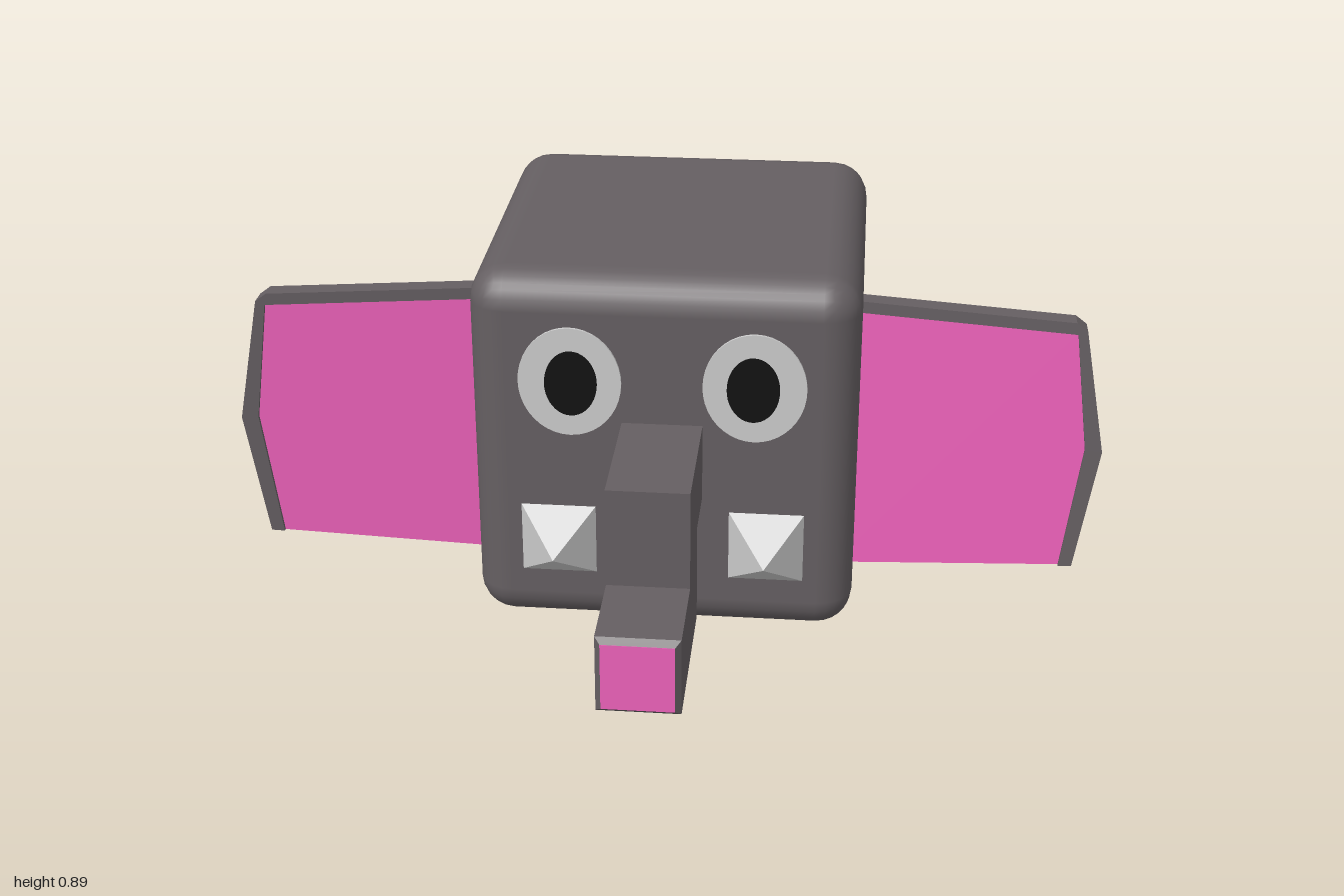
import * as THREE from 'three';
import { RoundedBoxGeometry } from 'three/addons/geometries/RoundedBoxGeometry.js';

const mat = (color, flatShading = true) =>
  new THREE.MeshStandardMaterial({ color, flatShading, side: THREE.DoubleSide });
const hide = mat(0x655f62);
const hideSmooth = mat(0x655f62, false);
const pink = mat(0xee62bb);
const white = mat(0xcccccc);
const black = mat(0x111111);

function add(parent, name, geometry, material, x = 0, y = 0, z = 0) {
  const mesh = new THREE.Mesh(geometry, material);
  mesh.name = name;
  mesh.position.set(x, y, z);
  parent.add(mesh);
  return mesh;
}

function slab(points, z0, z1, hole) {
  const toShape = (p) => new THREE.Shape(p.map(([x, y]) => new THREE.Vector2(x, y)));
  const shape = toShape(points);
  if (hole) shape.holes.push(toShape(hole));
  return new THREE.ExtrudeGeometry(shape, { depth: z1 - z0, bevelEnabled: false }).translate(0, 0, z0);
}

// Sweeps an ear layer forward as it runs away from the head
function sweep(geometry) {
  const p = geometry.attributes.position;
  for (let i = 0; i < p.count; i++) p.setZ(i, p.getZ(i) + 0.165 * (p.getX(i) - 0.44));
  geometry.computeVertexNormals();
  return geometry;
}

function makeEar() {
  const ear = new THREE.Group();
  const outer = [[0.4, 0.1], [0.955, 0.175], [1, 0.48], [0.945, 0.775], [0.92, 0.793], [0.4, 0.793]];
  const inner = [[0.4, 0.1], [0.925, 0.171], [0.962, 0.48], [0.925, 0.765], [0.4, 0.765]];
  // Rim runs along the top and outer edge only
  const rim = [[0.925, 0.171], [0.955, 0.175], [1, 0.48], [0.945, 0.775], [0.92, 0.793],
    [0.4, 0.793], [0.4, 0.765], [0.925, 0.765], [0.962, 0.48]];
  add(ear, 'earBack', sweep(slab(outer, 0.105, 0.122)), hide);
  add(ear, 'earRim', sweep(slab(rim, 0.122, 0.15)), hide);
  add(ear, 'earLining', sweep(slab(inner, 0.122, 0.142)), pink);
  return ear;
}

function makeTail() {
  // Each station: distance from the root, height, radius
  const stations = [[0, 0.262, 0.037], [0.06, 0.268, 0.033], [0.11, 0.276, 0.028], [0.16, 0.274, 0.022],
    [0.2, 0.265, 0.017], [0.245, 0.256, 0.011], [0.255, 0.254, 0.011], [0.29, 0.25, 0.04], [0.285, 0.25, 0]];
  const g = new THREE.LatheGeometry(stations.map(([d, , r]) => new THREE.Vector2(r, d)), 16);
  g.rotateX(-Math.PI / 2);
  const p = g.attributes.position;
  for (let i = 0; i < p.count; i++) p.setY(i, p.getY(i) + stations[i % stations.length][1]);
  g.computeVertexNormals();
  return g;
}

export function createModel() {
  const model = new THREE.Group();
  model.name = 'cubeElephant';

  add(model, 'body', new RoundedBoxGeometry(0.89, 0.89, 0.89, 3, 0.085), hideSmooth, 0, 0.445, -0.135);

  // Stepped trunk: side profile (z, y) extruded across x
  const trunk = slab([[0.25, 0.355], [0.45, 0.355], [0.45, 0.12], [0.845, 0.12],
    [0.845, 0.305], [0.635, 0.305], [0.635, 0.54], [0.25, 0.54]], -0.0925, 0.0925);
  add(model, 'trunk', trunk.rotateY(-Math.PI / 2), hide);
  const tip = new THREE.CylinderGeometry(0.08 * Math.SQRT2, 0.0925 * Math.SQRT2, 0.013, 4);
  add(model, 'trunkTip', tip.rotateY(Math.PI / 4).rotateX(Math.PI / 2), hide, 0, 0.2125, 0.8515);
  add(model, 'trunkOpening', new THREE.BoxGeometry(0.16, 0.16, 0.004), pink, 0, 0.2125, 0.857);

  for (const side of [1, -1]) {
    const label = side > 0 ? 'left' : 'right';

    const ear = makeEar();
    ear.name = label + 'Ear';
    ear.scale.x = side;
    model.add(ear);

    // Oval eye with a raised pupil
    const disc = (front) => new THREE.CylinderGeometry(1, 1, front - 0.3, 40)
      .rotateX(Math.PI / 2).translate(0, 0, (front + 0.3) / 2);
    add(model, label + 'Eye', disc(0.316), white, side * 0.21, 0.64).scale.set(0.118, 0.133, 1);
    add(model, label + 'Pupil', disc(0.321), black, side * 0.207, 0.638).scale.set(0.06, 0.079, 1);

    // Pyramid tusk
    const tusk = new THREE.ConeGeometry(0.087 * Math.SQRT2, 0.11, 4, 1);
    add(model, label + 'Tusk', tusk.rotateY(Math.PI / 4).rotateX(Math.PI / 2), white, side * 0.242, 0.235, 0.37);
  }

  add(model, 'tail', makeTail(), hideSmooth, 0, 0, -0.57);
  return model;
}
